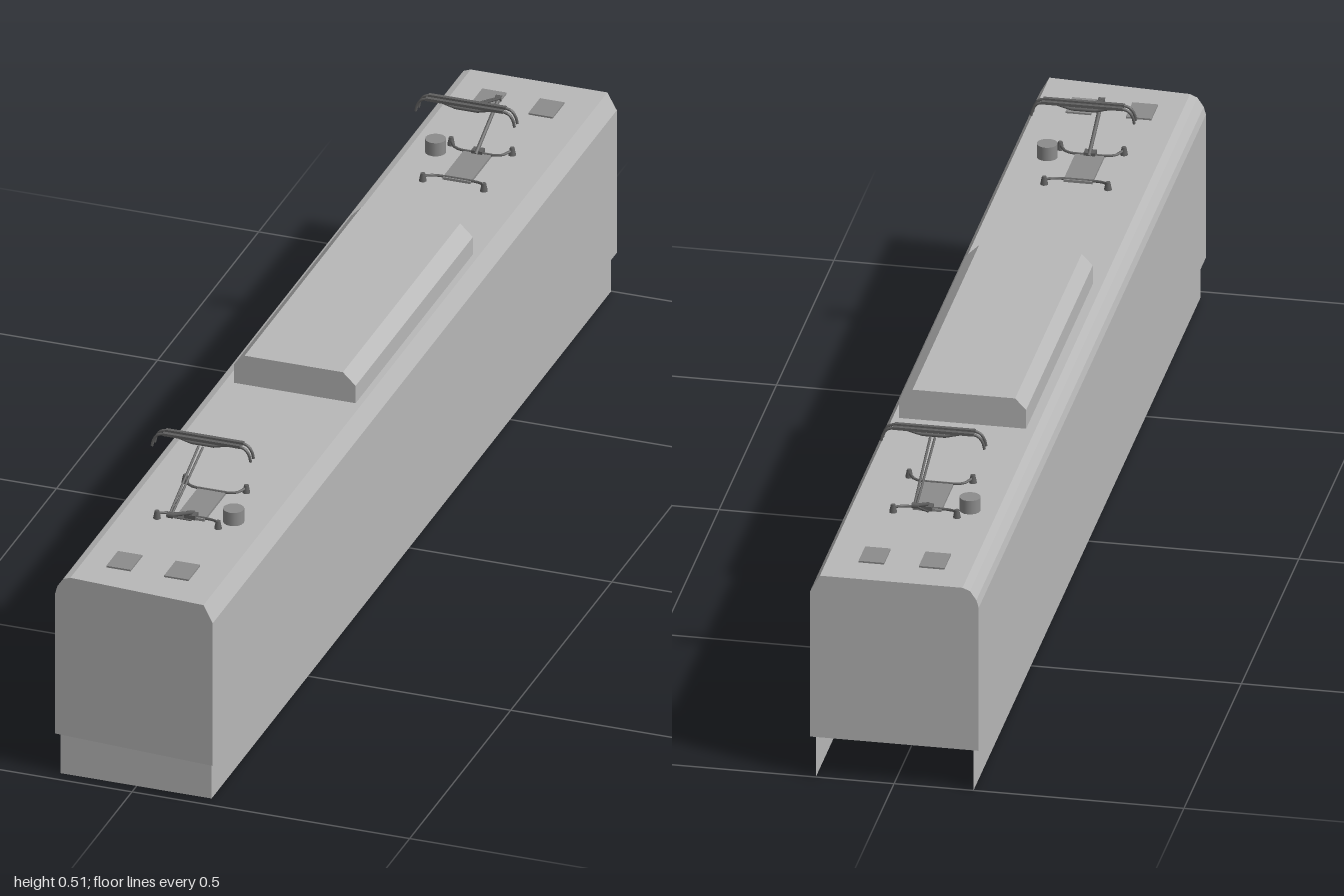
import * as THREE from 'three';

const material = (name, color, side = THREE.FrontSide) => {
  const m = new THREE.MeshStandardMaterial({ color, side });
  m.name = name;
  return m;
};

export function createModel() {
  const model = new THREE.Group();
  model.name = 'locomotive';
  const shell = material('shell grey', 0xb8b8b8, THREE.DoubleSide);
  const fitting = material('roof fitting grey', 0x8c8c8c);
  const dark = material('pantograph grey', 0x606060);

  const add = (parent, name, geometry, mat, x = 0, y = 0, z = 0) => {
    const mesh = new THREE.Mesh(geometry, mat);
    mesh.name = name;
    mesh.position.set(x, y, z);
    parent.add(mesh);
    return mesh;
  };
  const box = (parent, name, mat, size, pos) =>
    add(parent, name, new THREE.BoxGeometry(...size), mat, ...pos);
  // Cross-section in x and y, drawn out between two z positions
  const prism = (points, z0, z1) => {
    const shape = new THREE.Shape(points.map(p => new THREE.Vector2(...p)));
    return new THREE.ExtrudeGeometry(shape, { depth: z1 - z0, bevelEnabled: false }).translate(0, 0, z0);
  };
  // Round bar through a few points
  const bar = (parent, name, points, radius, smooth = false) => {
    const v = points.map(p => new THREE.Vector3(...p));
    let path;
    if (smooth) path = new THREE.CatmullRomCurve3(v);
    else {
      path = new THREE.CurvePath();
      for (let i = 1; i < v.length; i++) path.add(new THREE.LineCurve3(v[i - 1], v[i]));
    }
    return add(parent, name, new THREE.TubeGeometry(path, smooth ? 14 : v.length - 1, radius, 6), dark);
  };

  // Body shell, with a slightly skewed front end
  const body = prism([
    [-0.146, 0.075], [0.145, 0.075], [0.145, 0.347], [0.128, 0.378],
    [-0.118, 0.378], [-0.131, 0.373], [-0.142, 0.357], [-0.146, 0.343],
  ], -1, 1);
  const pos = body.attributes.position;
  for (let i = 0; i < pos.count; i++) {
    if (pos.getZ(i) > 0) pos.setZ(i, 0.989 + pos.getX(i) * 0.07);
  }
  body.computeVertexNormals();
  add(model, 'body', body, shell);

  // Skirt: two sides and a front, open at the back
  const skirt = new THREE.Group();
  skirt.name = 'skirt';
  model.add(skirt);
  for (const [x, turn] of [[0.135, 1], [-0.137, -1]]) {
    add(skirt, 'skirtSide', new THREE.PlaneGeometry(1.977, 0.076), shell, x, 0.038, -0.0115)
      .rotation.y = turn * Math.PI / 2;
  }
  add(skirt, 'skirtFront', new THREE.PlaneGeometry(0.272, 0.076), shell, -0.001, 0.038, 0.977);

  // Chamfered equipment housing on the roof
  add(model, 'roofHousing', prism([
    [-0.102, 0.376], [0.117, 0.376], [0.117, 0.411], [0.094, 0.433], [-0.083, 0.433], [-0.102, 0.413],
  ], -0.365, 0.215), shell);

  // Roof hatches
  for (const z of [0.895, -0.907]) {
    for (const x of [-0.052, 0.052]) {
      box(model, 'roofHatch', fitting, [0.044, 0.006, 0.058], [x, 0.378, z]);
    }
  }

  // Pantograph set, built around its own centre with the knee towards +z
  const pantograph = (name) => {
    const g = new THREE.Group();
    g.name = name;
    model.add(g);

    box(g, 'basePlate', fitting, [0.05, 0.005, 0.11], [0, 0.38, -0.04]);
    for (const [z, bow] of [[-0.11, 0.02], [0.03, -0.02]]) {
      for (const x of [-0.055, 0.055]) {
        add(g, 'insulator', new THREE.CylinderGeometry(0.004, 0.007, 0.015, 8), dark, x, 0.385, z);
      }
      bar(g, 'baseRail', [
        [-0.055, 0.387, z], [-0.042, 0.383, z + bow * 0.8], [0, 0.382, z + bow],
        [0.042, 0.383, z + bow * 0.8], [0.055, 0.387, z],
      ], 0.0025, true);
    }

    // Folding arms
    box(g, 'armPivot', dark, [0.02, 0.008, 0.016], [0, 0.384, 0.012]);
    bar(g, 'lowerArm', [[0, 0.384, 0.0], [0, 0.435, 0.115]], 0.0035);
    bar(g, 'controlRod', [[0.004, 0.382, 0.025], [0.003, 0.431, 0.113]], 0.0018);
    bar(g, 'knee', [[-0.006, 0.435, 0.115], [0.006, 0.435, 0.115]], 0.005);
    for (const side of [-1, 1]) {
      bar(g, 'upperArm', [[side * 0.002, 0.435, 0.115], [side * 0.004, 0.492, -0.035]], 0.0022);
    }

    // Collector head with two strips and drooping horns
    for (const z of [-0.052, -0.038]) {
      box(g, 'contactStrip', dark, [0.14, 0.005, 0.007], [0.001, 0.503, z]);
      for (const side of [-1, 1]) {
        bar(g, 'horn', [
          [side * 0.068, 0.503, z], [side * 0.079, 0.499, z],
          [side * 0.086, 0.489, z], [side * 0.089, 0.477, z],
        ], 0.0025, true);
      }
    }
    bar(g, 'headSupport', [
      [-0.056, 0.501, -0.045], [-0.048, 0.492, -0.045], [0.048, 0.492, -0.045], [0.056, 0.501, -0.045],
    ], 0.003);

    // Drum beside the pantograph
    add(g, 'drum', new THREE.CylinderGeometry(0.018, 0.018, 0.026, 16), fitting, 0.071, 0.39, -0.003);
    return g;
  };
  pantograph('frontPantograph').position.z = 0.695;
  const rear = pantograph('rearPantograph');
  rear.position.z = -0.7;
  rear.rotation.y = Math.PI;

  return model;
}
